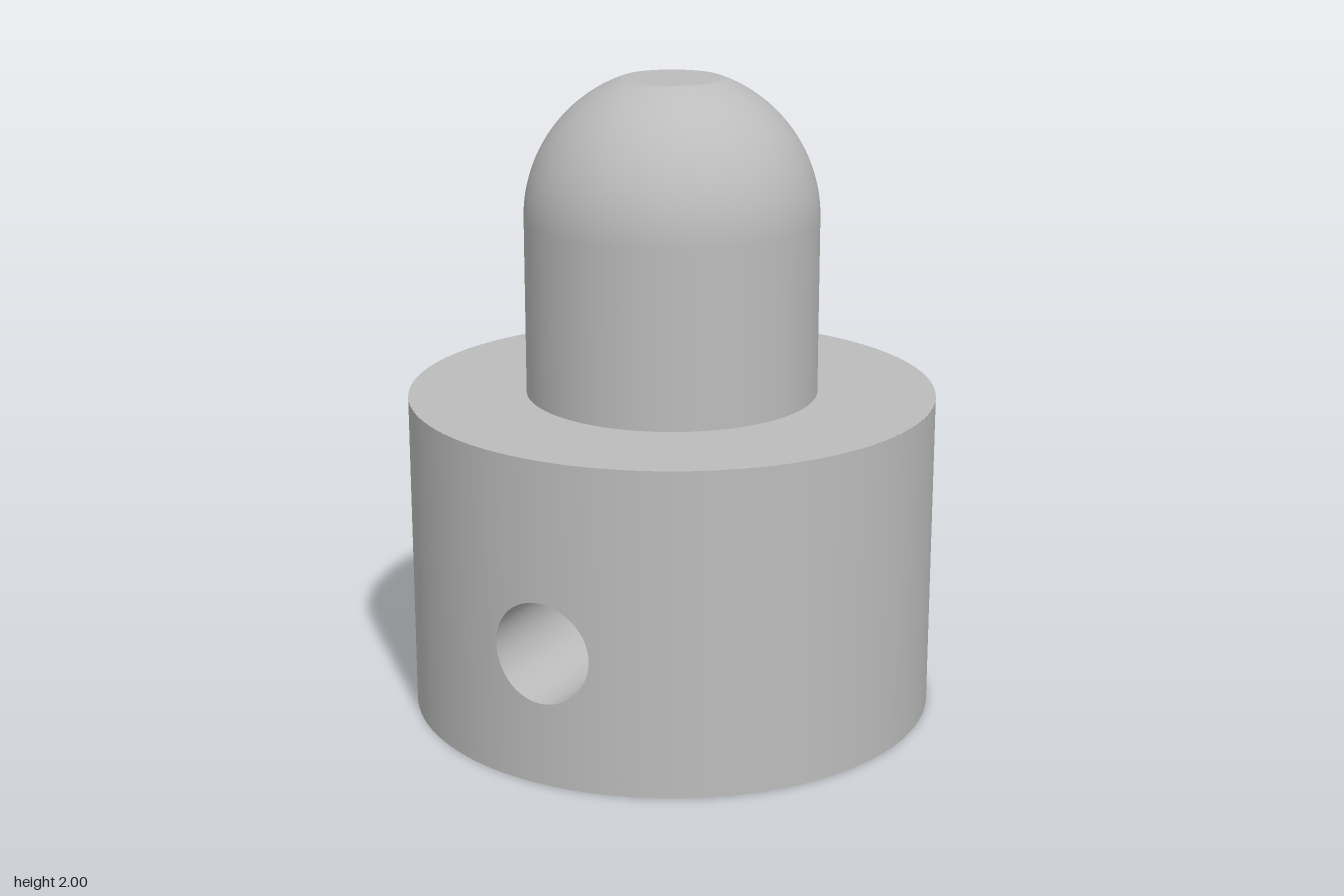
import * as THREE from 'three';

const R = 0.828, H = 1.015;                 // base collar
const POST_R = 0.458, DOME_Y = 1.57, TOP = 2; // domed post
const HOLE_R = 0.158, HOLE_Y = 0.418;       // cross hole along z
const HALF_L = 0.475, HALF_W = 0.35, DEPTH = 0.84, TURN = 0.1; // socket, slightly turned

const COS = Math.cos(TURN), SIN = Math.sin(TURN);
const onCollar = (x, y) => new THREE.Vector3(x, y, Math.sqrt(R * R - x * x));
const onSocket = (x, y) => new THREE.Vector3(x, y, x * SIN / COS + HALF_W / COS);
const corner = (l, w) => new THREE.Vector2(l * COS - w * SIN, l * SIN + w * COS);

// Closed loft between two outlines, ordered counter-clockwise seen from +z
function loft(ringA, ringB, steps, place) {
  const n = ringA.length, pos = [], index = [];
  for (let s = 0; s <= steps; s++) {
    for (let i = 0; i < n; i++) pos.push(...place(ringA[i].clone().lerp(ringB[i], s / steps)).toArray());
  }
  for (let s = 0; s < steps; s++) {
    for (let i = 0; i < n; i++) {
      const a = s * n + i, b = s * n + (i + 1) % n;
      index.push(a, a + n, b + n, a, b + n, b);
    }
  }
  const g = new THREE.BufferGeometry();
  g.setAttribute('position', new THREE.Float32BufferAttribute(pos, 3));
  g.setIndex(index);
  g.computeVertexNormals();
  return g;
}

// Matching hole rim and rectangular border, sampled along the same rays
function holeAndBorder(x0, x1, y0, y1) {
  const angles = [];
  for (let i = 0; i < 72; i++) angles.push((i + 0.5) / 72 * Math.PI * 2 - Math.PI);
  for (const x of [x0, x1]) for (const y of [y0, y1]) angles.push(Math.atan2(y - HOLE_Y, x));
  angles.sort((a, b) => a - b);
  const rim = [], border = [];
  for (const a of angles) {
    const c = Math.cos(a), s = Math.sin(a);
    const t = Math.min((c > 0 ? x1 : x0) / c, ((s > 0 ? y1 : y0) - HOLE_Y) / s);
    rim.push(new THREE.Vector3(c * HOLE_R, HOLE_Y + s * HOLE_R, 0));
    border.push(new THREE.Vector3(c * t, HOLE_Y + s * t, 0));
  }
  return { rim, border };
}

export function createModel() {
  const model = new THREE.Group();
  model.name = 'socketAdapter';
  const grey = new THREE.MeshStandardMaterial({ color: 0xbcbcbc });
  grey.name = 'plain grey';
  const add = (parent, name, geometry, y = 0) => {
    const mesh = new THREE.Mesh(geometry, grey);
    mesh.name = name;
    mesh.position.y = y;
    parent.add(mesh);
    return mesh;
  };

  // Domed post with a flat tip
  const tipR = Math.sqrt(POST_R ** 2 - (TOP - DOME_Y) ** 2);
  const tipAngle = Math.asin(tipR / POST_R);
  add(model, 'post', new THREE.CylinderGeometry(POST_R, POST_R, DOME_Y - H, 96, 1, true), (DOME_Y + H) / 2);
  add(model, 'dome', new THREE.SphereGeometry(POST_R, 96, 32, 0, Math.PI * 2, tipAngle, Math.PI / 2 - tipAngle), DOME_Y);
  add(model, 'flatTip', new THREE.CircleGeometry(tipR, 96).rotateX(-Math.PI / 2), TOP);
  add(model, 'shoulder', new THREE.RingGeometry(POST_R, R, 96).rotateX(-Math.PI / 2), H);

  // Underside with the rectangular socket opening, and the socket ceiling
  const outline = [corner(HALF_L, HALF_W), corner(-HALF_L, HALF_W), corner(-HALF_L, -HALF_W), corner(HALF_L, -HALF_W)];
  const disc = new THREE.Shape();
  disc.absarc(0, 0, R, 0, Math.PI * 2);
  disc.holes.push(new THREE.Path(outline));
  add(model, 'underside', new THREE.ShapeGeometry(disc, 96).rotateX(Math.PI / 2));
  add(model, 'socketCeiling', new THREE.ShapeGeometry(new THREE.Shape(outline)).rotateX(Math.PI / 2), DEPTH);

  // Front and back halves of the collar are the same, half a turn apart
  const patchX = 0.5, patchAngle = Math.asin(patchX / R);
  const outer = holeAndBorder(-patchX, patchX, 0, H);
  const inner = holeAndBorder(outline[1].x, outline[0].x, 0, DEPTH);
  for (const [name, turn] of [['front', 0], ['back', Math.PI]]) {
    const half = new THREE.Group();
    half.name = name + 'Half';
    half.rotation.y = turn;
    model.add(half);

    // Curved wall pierced by the cross hole
    const pierced = loft(outer.rim, outer.border, 12, p => onCollar(p.x, p.y));
    const pos = pierced.attributes.position;
    for (let i = 0; i < pos.count; i++) pierced.attributes.normal.setXYZ(i, pos.getX(i) / R, 0, pos.getZ(i) / R);
    add(half, 'piercedWall', pierced);
    add(half, 'sideWall', new THREE.CylinderGeometry(R, R, H, 48, 1, true, patchAngle, Math.PI - 2 * patchAngle), H / 2);

    // Socket walls and the hole lining between socket and outside
    add(half, 'socketLongWall', loft(inner.border, inner.rim, 1, p => onSocket(p.x, p.y)));
    const shortWall = add(half, 'socketShortWall', new THREE.PlaneGeometry(2 * HALF_W, DEPTH));
    shortWall.position.set(HALF_L * COS, DEPTH / 2, HALF_L * SIN);
    shortWall.rotation.y = Math.atan2(-COS, -SIN);
    add(half, 'holeLining', loft(outer.rim.map(p => onSocket(p.x, p.y)), outer.rim.map(p => onCollar(p.x, p.y)), 1, p => p));
  }
  return model;
}
